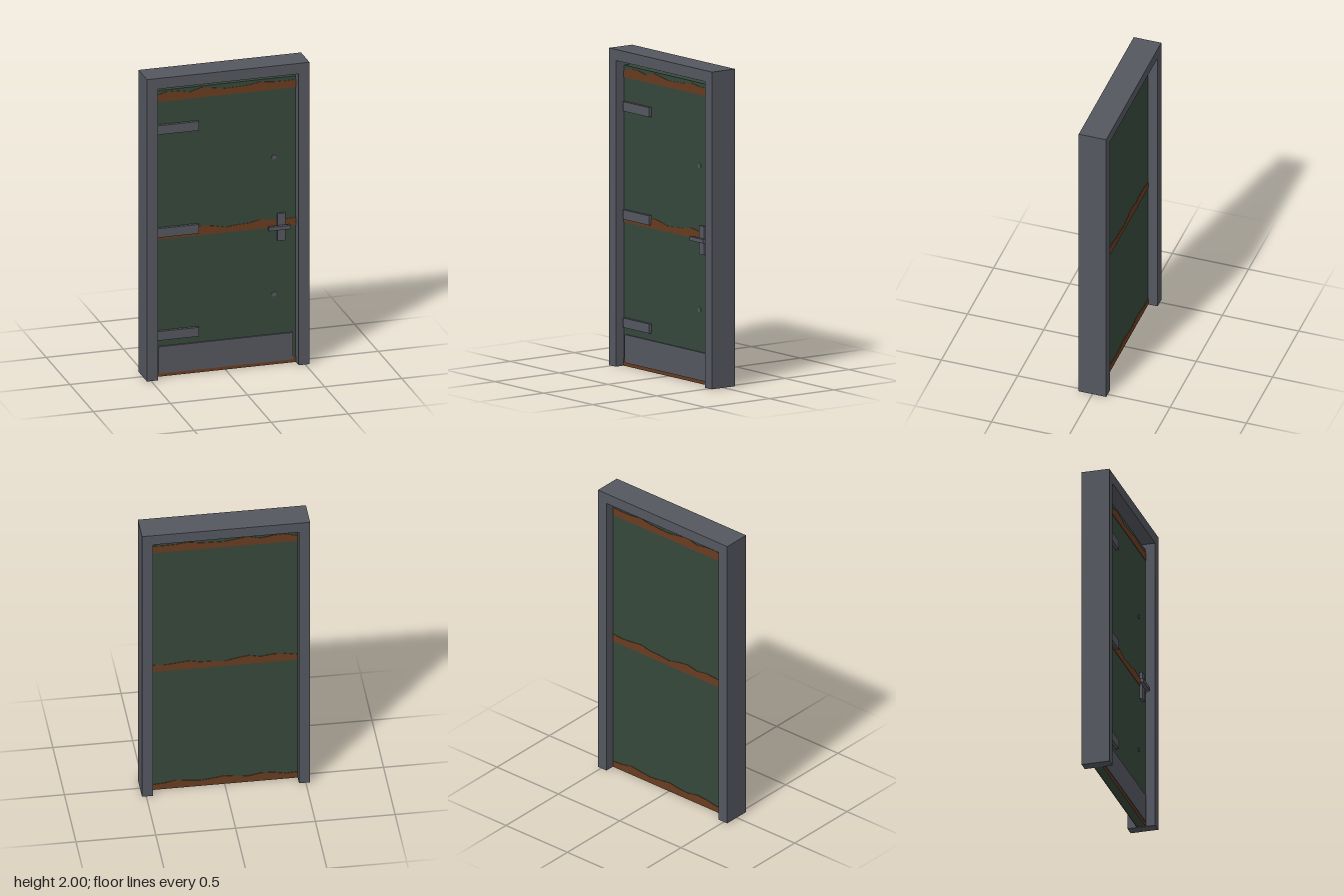
import * as THREE from 'three';

export function createModel() {
  const model = new THREE.Group();
  model.name = 'door';
  const steel = new THREE.MeshStandardMaterial({ name: 'grey steel', color: 0x54575f });
  const green = new THREE.MeshStandardMaterial({ name: 'dark green paint', color: 0x36483b });
  const rust = new THREE.MeshStandardMaterial({ name: 'rust', color: 0x683c20 });

  const add = (name, geometry, material, x = 0, y = 0, z = 0) => {
    const mesh = new THREE.Mesh(geometry, material);
    mesh.name = name;
    mesh.position.set(x, y, z);
    model.add(mesh);
    return mesh;
  };
  // box given by its min and max on each axis
  const block = (name, material, [x0, x1], [y0, y1], [z0, z1]) =>
    add(name, new THREE.BoxGeometry(x1 - x0, y1 - y0, z1 - z0), material,
      (x0 + x1) / 2, (y0 + y1) / 2, (z0 + z1) / 2);
  const extrude = (points, depth) => new THREE.ExtrudeGeometry(
    new THREE.Shape(points.map(([x, y]) => new THREE.Vector2(x, y))),
    { depth, bevelEnabled: false });

  const W = 0.527, IN = 0.457, FACE = 0.026;

  // frame: two jambs and a header in one piece
  add('frame', extrude([[-W, 0], [-IN, 0], [-IN, 1.93], [IN, 1.93], [IN, 0], [W, 0], [W, 2], [-W, 2]], 0.18),
    steel, 0, 0, -0.09);

  // door leaf, with a gap below the header
  block('doorLeaf', green, [-IN, IN], [0.002, 1.895], [-FACE, FACE]);

  // rust bands with a ragged upper edge, on both faces
  const bands = [
    { base: 1.82, edge: [0.04, 0.062, 0.06, 0.045, 0.066, 0.055, 0.043, 0.045, 0.048, 0.062, 0.052, 0.05, 0.052] },
    { base: 0.907, edge: [0.04, 0.055, 0.06, 0.048, 0.064, 0.053, 0.036, 0.044, 0.046, 0.062, 0.052, 0.046, 0.052] },
    { base: 0, edge: [0.045, 0.04, 0.056, 0.06, 0.045, 0.05, 0.062, 0.05, 0.042, 0.05, 0.06, 0.045, 0.04] },
  ];
  for (const { base, edge } of bands) {
    const top = edge.map((h, i) => [IN - (2 * IN * (edge.length - 1 - i)) / (edge.length - 1), base + h]);
    const geometry = extrude([[-IN, base], [IN, base], ...top.reverse()], 0.003);
    add('rustBandFront', geometry, rust, 0, 0, FACE);
    add('rustBandBack', geometry, rust, 0, 0, -FACE - 0.003);
  }

  // hinge straps
  for (const y of [0.275, 0.957, 1.639])
    block('hingeStrap', steel, [-0.443, -0.175], [y - 0.03, y + 0.03], [FACE, 0.046]);

  // kick plate
  block('kickPlate', steel, [-0.437, 0.435], [0.022, 0.2], [FACE, 0.036]);

  // handle: back plate, spindle and lever
  block('handlePlate', steel, [0.335, 0.387], [0.82, 1.0], [FACE, 0.044]);
  block('handleSpindle', steel, [0.35, 0.372], [0.903, 0.922], [0.044, 0.05]);
  block('handleLever', steel, [0.27, 0.412], [0.9, 0.925], [0.048, 0.07]);

  // small studs above and below the handle
  for (const y of [0.464, 1.372])
    add('stud', new THREE.CylinderGeometry(0.016, 0.016, 0.004, 8).rotateX(Math.PI / 2), steel, 0.316, y, FACE + 0.001);

  return model;
}
